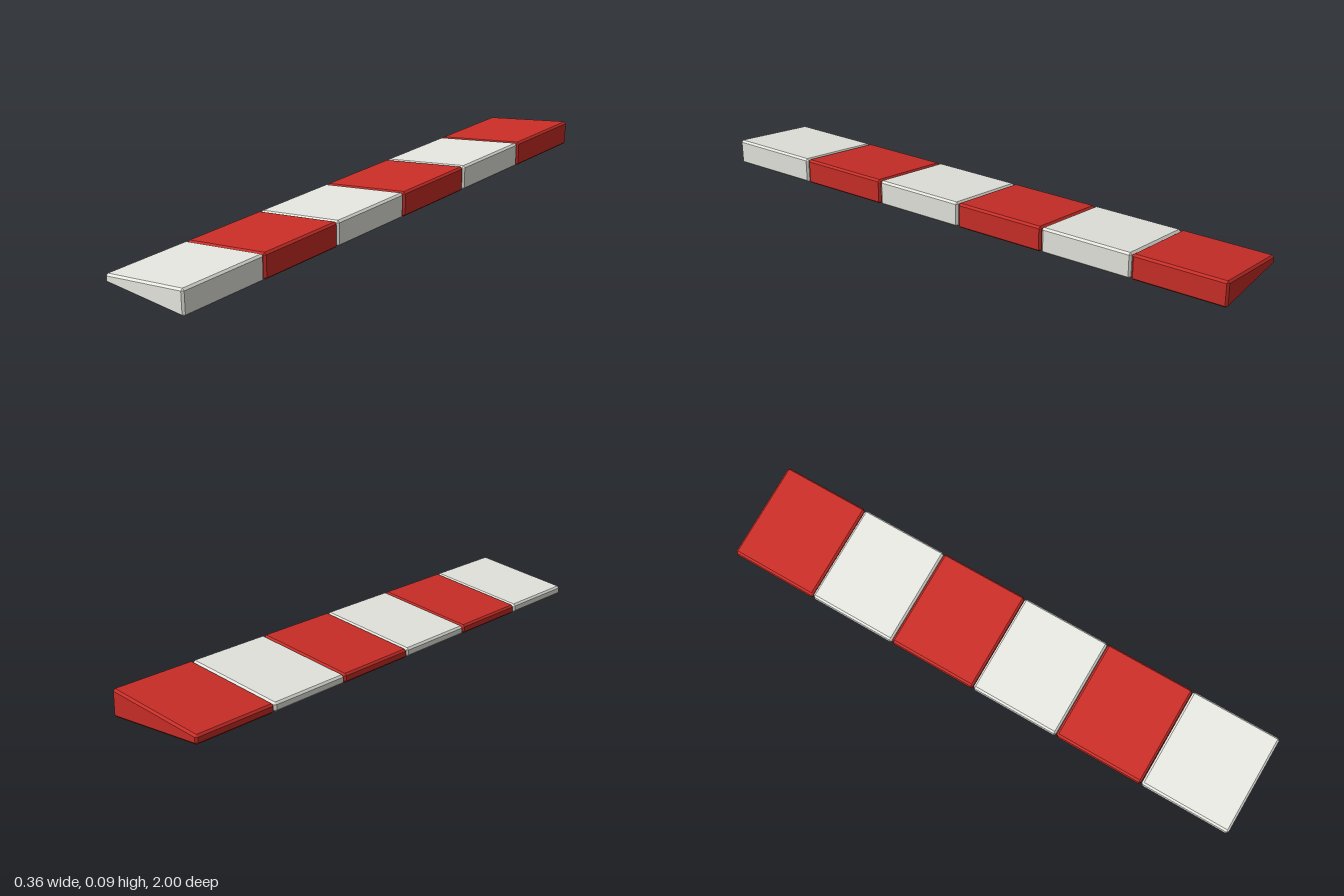
import * as THREE from 'three';
import { ConvexGeometry } from 'three/addons/geometries/ConvexGeometry.js';

const COUNT = 6;
const PITCH = 2 / COUNT;
const LENGTH = PITCH - 0.002; // hairline joint between blocks
const BEVEL = 0.007;

// Wedge with every edge chamfered: each inset corner is pushed out along x, y and z
function wedgeGeometry() {
  const profile = [[-0.173, 0.007], [0.173, 0.007], [0.173, 0.085], [-0.173, 0.025]];
  const points = [];
  profile.forEach(([x, y], i) => {
    const sx = Math.sign(x);
    const sy = i < 2 ? -1 : 1;
    for (const sz of [-1, 1]) {
      const z = sz * (LENGTH / 2 - BEVEL);
      points.push(
        new THREE.Vector3(x + sx * BEVEL, y, z),
        new THREE.Vector3(x, y + sy * BEVEL, z),
        new THREE.Vector3(x, y, z + sz * BEVEL),
      );
    }
  });
  return new ConvexGeometry(points);
}

export function createModel() {
  const group = new THREE.Group();
  group.name = 'kerb';
  const red = new THREE.MeshStandardMaterial({ color: 0xcc2e28, flatShading: true });
  const white = new THREE.MeshStandardMaterial({ color: 0xe8e8e2, flatShading: true });
  const geometry = wedgeGeometry();

  // Alternating blocks from back (red) to front (white)
  for (let i = 0; i < COUNT; i++) {
    const isRed = i % 2 === 0;
    const block = new THREE.Mesh(geometry, isRed ? red : white);
    block.name = `${isRed ? 'red' : 'white'}KerbBlock${i + 1}`;
    block.position.z = -1 + PITCH * (i + 0.5);
    group.add(block);
  }
  return group;
}
